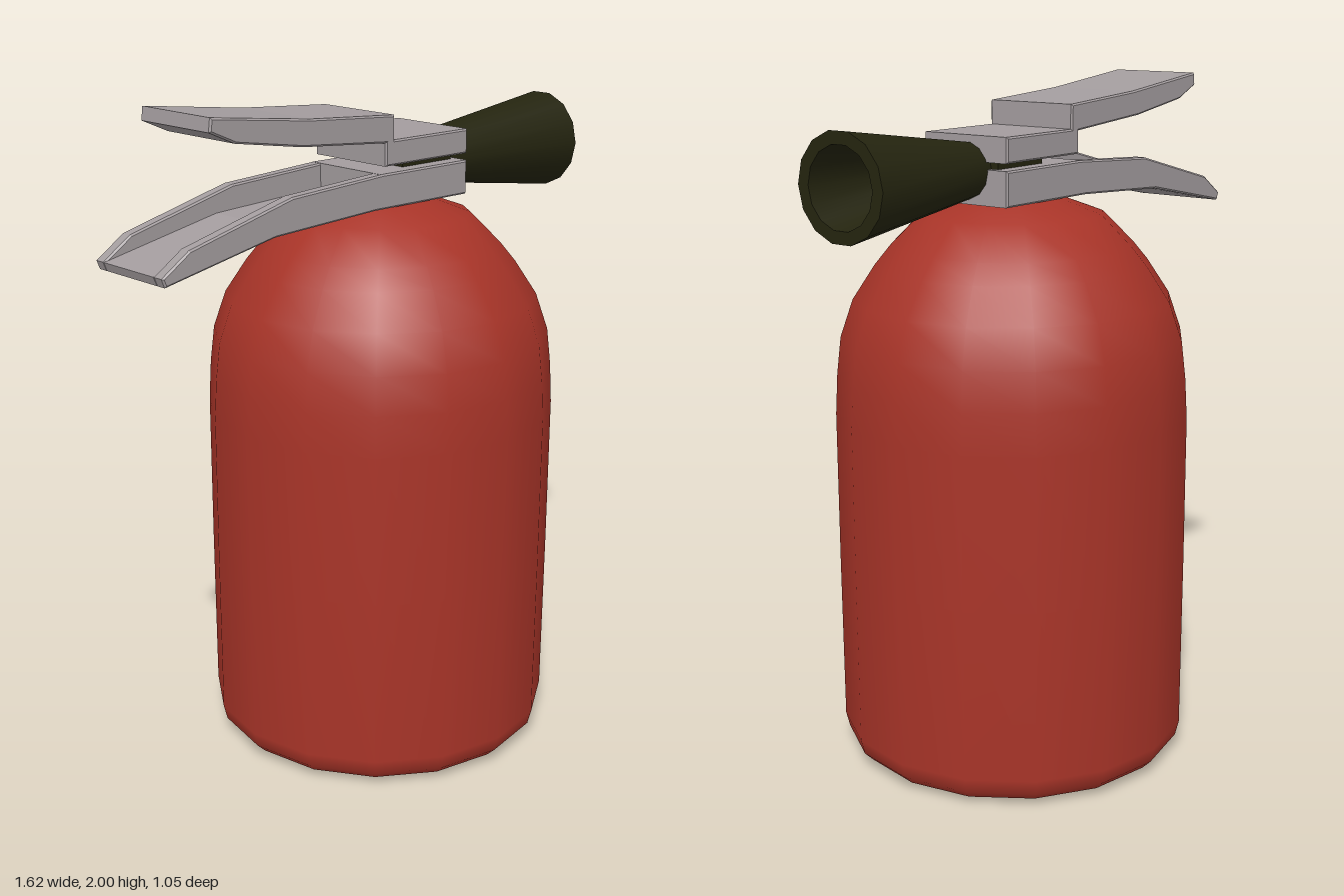
import * as THREE from 'three';
import { toCreasedNormals } from 'three/addons/utils/BufferGeometryUtils.js';

const material = (name, color) => {
  const m = new THREE.MeshStandardMaterial({ color });
  m.name = name;
  return m;
};

const vectors = (pairs) => pairs.map(([x, y]) => new THREE.Vector2(x, y));

export function createModel() {
  const red = material('red paint', 0xa83428);
  const metal = material('grey metal', 0xa39c9e);
  const black = material('dark rubber', 0x24240f);
  const group = new THREE.Group();
  group.name = 'fireExtinguisher';

  const add = (name, geometry, mat, parent = group) => {
    const mesh = new THREE.Mesh(geometry, mat);
    mesh.name = name;
    parent.add(mesh);
    return mesh;
  };

  // Side profile in x and y, extruded from z0 to z1 with a fine bevel
  const plate = (outline, z0, z1, bevel = 0.005) => {
    const geometry = new THREE.ExtrudeGeometry(new THREE.Shape(vectors(outline)), {
      depth: z1 - z0 - 2 * bevel,
      bevelEnabled: true, bevelSegments: 1,
      bevelSize: bevel, bevelThickness: bevel, bevelOffset: -bevel,
    });
    return geometry.translate(0, 0, z0 + bevel);
  };

  // Tank with rounded lower edge and domed shoulder
  const tank = add('tank', new THREE.LatheGeometry(vectors([
    [0.44, 0.005], [0.485, 0.017], [0.513, 0.045], [0.524, 0.09], [0.525, 0.6],
    [0.524, 1.05], [0.517, 1.17], [0.504, 1.28], [0.466, 1.39], [0.4, 1.49],
    [0.355, 1.545], [0.265, 1.635], [0.12, 1.688], [0, 1.69],
  ]), 16), red);
  tank.position.x = 0.1;

  // Dark underside
  const base = add('base', new THREE.CylinderGeometry(0.44, 0.44, 0.012, 16), black);
  base.position.set(0.1, 0.006, 0);

  // Lower handle: an upward-opening channel, solid over the valve
  const handle = new THREE.Group();
  handle.name = 'lowerHandle';
  group.add(handle);
  const underside = [[-0.8, 1.585], [-0.43, 1.66], [-0.06, 1.68]];
  const wall = [...underside, [-0.03, 1.68], [-0.03, 1.78], [-0.37, 1.76], [-0.72, 1.67], [-0.81, 1.61]];
  const floor = [...underside, [-0.03, 1.68], [-0.03, 1.708], [-0.06, 1.708], [-0.43, 1.688], [-0.81, 1.61]];
  add('handleWallLeft', plate(wall, 0.108, 0.148), metal, handle);
  add('handleWallRight', plate(wall, -0.148, -0.108), metal, handle);
  add('handleFloor', plate(floor, -0.115, 0.115), metal, handle);
  add('valveBlock', plate([[-0.04, 1.68], [0.31, 1.68], [0.31, 1.78], [-0.04, 1.78]], -0.148, 0.148), metal, handle);

  // Upper lever, stepped up behind the valve
  add('upperLever', plate([
    [0.31, 1.8], [0.31, 1.872], [0.012, 1.872], [0.012, 1.942], [-0.3, 1.962],
    [-0.64, 2.0], [-0.645, 1.962], [-0.56, 1.925], [-0.33, 1.89], [-0.022, 1.866], [-0.022, 1.8],
  ], -0.148, 0.148), metal);

  // Small valve stem joining lever and handle
  const stem = add('valveStem', new THREE.BoxGeometry(0.2, 0.06, 0.2), black);
  stem.position.set(0.19, 1.79, 0);

  // Hollow discharge horn pointing sideways
  const horn = add('horn', toCreasedNormals(new THREE.LatheGeometry(vectors([
    [0, 0.28], [0.077, 0.28], [0.08, 0.31], [0.148, 0.808],
    [0.112, 0.808], [0.07, 0.55], [0, 0.55],
  ]), 14), 0.6), black);
  horn.rotation.z = -Math.PI / 2;
  horn.position.y = 1.774;

  return group;
}
